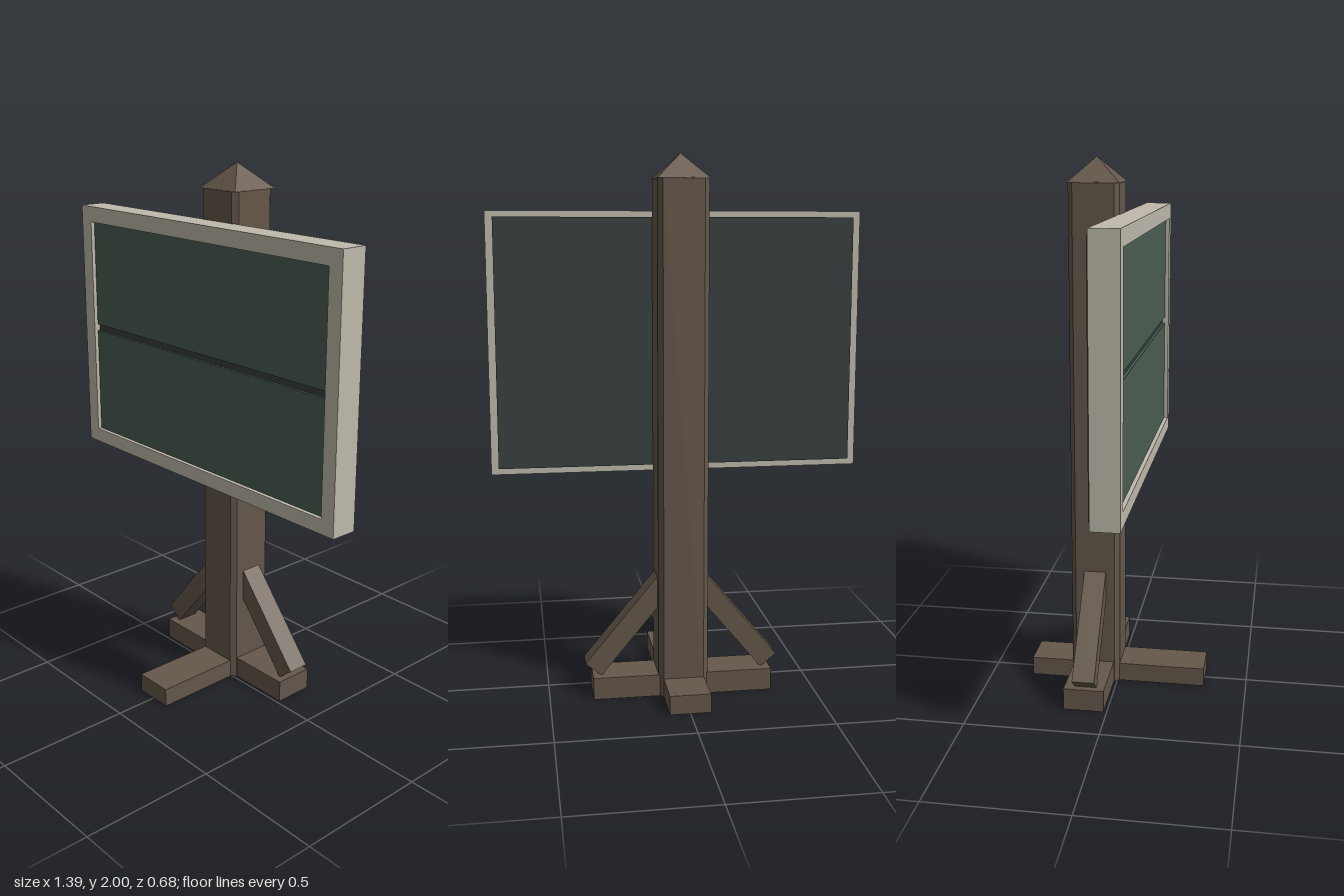
import * as THREE from 'three';

const flat = (name, color) => {
  const m = new THREE.MeshStandardMaterial({ color, flatShading: true });
  m.name = name;
  return m;
};

export function createModel() {
  const wood = flat('brown wood', 0x65574a);
  const trim = flat('pale frame', 0xbfbaac);
  const green = flat('green board', 0x4b5d52);
  const dark = flat('dark backing', 0x363e3e);

  const model = new THREE.Group();
  model.name = 'noticeBoard';
  const add = (name, geometry, material, x = 0, y = 0, z = 0) => {
    const mesh = new THREE.Mesh(geometry, material);
    mesh.name = name;
    mesh.position.set(x, y, z);
    model.add(mesh);
    return mesh;
  };
  // box given by its limits on each axis
  const block = (name, material, x0, x1, y0, y1, z0, z1) =>
    add(name, new THREE.BoxGeometry(x1 - x0, y1 - y0, z1 - z0), material,
      (x0 + x1) / 2, (y0 + y1) / 2, (z0 + z1) / 2);

  const postZ = -0.084;

  // post: square section with chamfered corners
  const h = 0.093, c = 0.075;
  const section = new THREE.Shape(
    [[c, -h], [h, -c], [h, c], [c, h], [-c, h], [-h, c], [-h, -c], [-c, -h]]
      .map(([x, y]) => new THREE.Vector2(x, y)));
  const postGeometry = new THREE.ExtrudeGeometry(section, { depth: 1.912, bevelEnabled: false });
  postGeometry.rotateX(-Math.PI / 2);
  add('post', postGeometry, wood, 0, 0, postZ);

  // pyramid cap
  const capGeometry = new THREE.ConeGeometry(0.095 * Math.SQRT2, 0.09, 4);
  capGeometry.rotateY(Math.PI / 4);
  add('postCap', capGeometry, wood, 0, 1.955, postZ);

  // crossed feet
  block('sideFoot', wood, -0.338, 0.338, 0, 0.083, -0.163, -0.012);
  block('frontBackFoot', wood, -0.076, 0.076, 0, 0.071, -0.338, 0.338);

  // diagonal braces
  const angle = Math.atan2(0.328, 0.272), length = 0.43;
  for (const side of [-1, 1]) {
    const brace = add(side > 0 ? 'leftBrace' : 'rightBrace',
      new THREE.BoxGeometry(length, 0.077, 0.083), wood,
      side * (0.335 - Math.cos(angle) * length / 2),
      0.103 + Math.sin(angle) * length / 2, postZ);
    brace.rotation.z = -side * angle;
  }

  // frame with a rectangular opening
  const rect = (Kind, x, y0, y1) => {
    const s = new Kind();
    s.moveTo(-x, y0).lineTo(x, y0).lineTo(x, y1).lineTo(-x, y1).closePath();
    return s;
  };
  const frameShape = rect(THREE.Shape, 0.695, 0.835, 1.8);
  frameShape.holes.push(rect(THREE.Path, 0.637, 0.89, 1.74));
  add('frame', new THREE.ExtrudeGeometry(frameShape, { depth: 0.102, bevelEnabled: false }),
    trim, 0, 0, 0.005);

  // two writing panels with a dark groove between them
  block('lowerPanel', green, -0.637, 0.637, 0.89, 1.304, 0.03, 0.092);
  block('upperPanel', green, -0.637, 0.637, 1.33, 1.74, 0.03, 0.092);
  block('groove', dark, -0.637, 0.637, 1.304, 1.33, 0.012, 0.082);

  // back plate
  block('backPlate', dark, -0.668, 0.668, 0.858, 1.778, -0.003, 0.03);

  return model;
}
